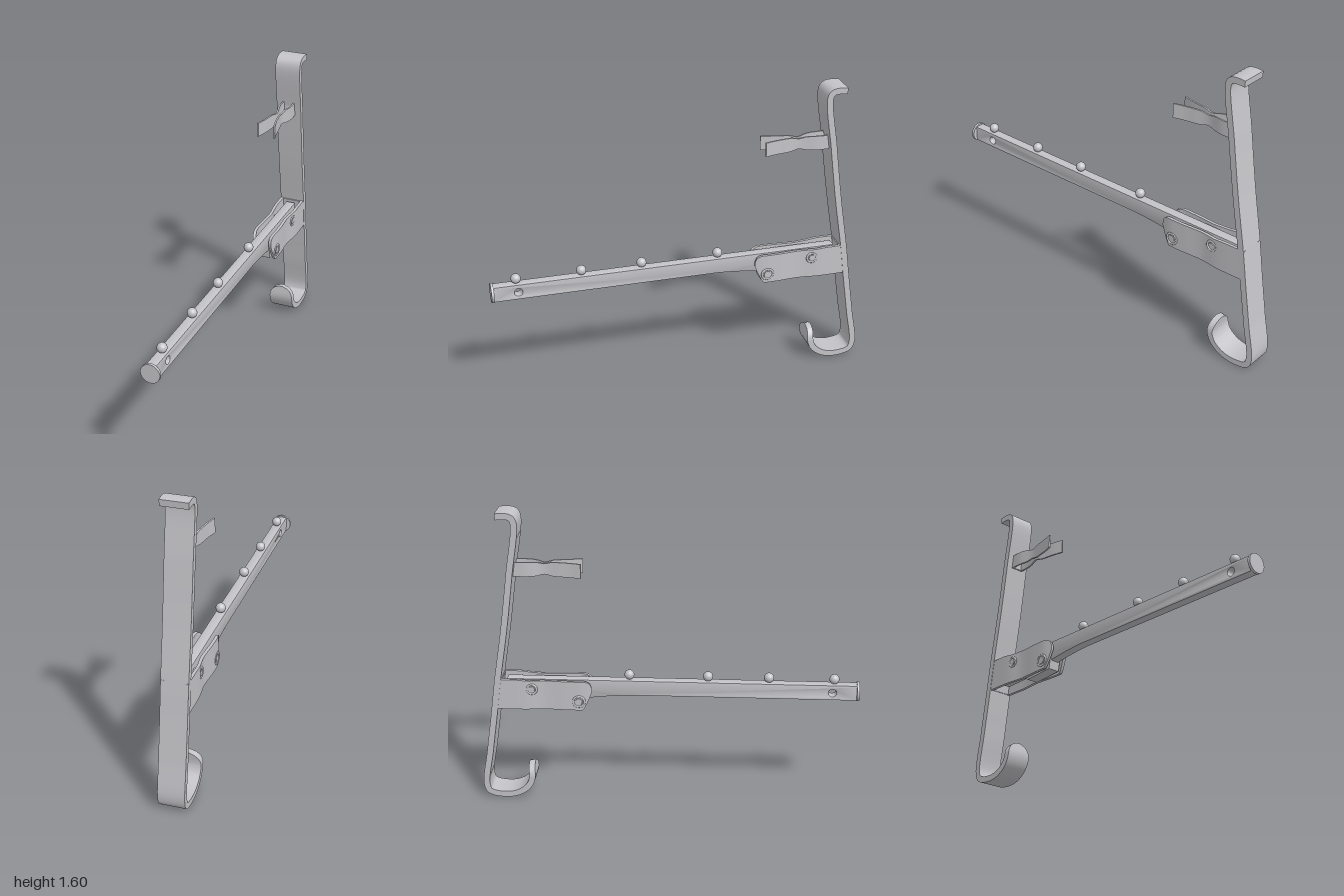
import * as THREE from 'three';
import { toCreasedNormals } from 'three/addons/utils/BufferGeometryUtils.js';

const steel = new THREE.MeshStandardMaterial({ color: 0xc4c4c8 });
steel.name = 'brushed steel';

const V = (x, y, z) => new THREE.Vector3(x, y, z);
// Side plane: drawn in (z, y), width along x. Plan plane: drawn in (z, x), width along y.
const SIDE = new THREE.Matrix4().makeBasis(V(0, 0, 1), V(0, 1, 0), V(-1, 0, 0));
const PLAN = new THREE.Matrix4().makeBasis(V(0, 0, 1), V(1, 0, 0), V(0, 1, 0));

// Bent sheet metal: sweeps a flat section along a curve; extent(t, point) gives its two edges.
function ribbon(points, thickness, extent, plane, segments) {
  const curve = new THREE.CatmullRomCurve3(points.map(([u, v]) => V(u, v, 0)), false, 'centripetal');
  const pos = [], index = [];
  for (let i = 0; i <= segments; i++) {
    const t = i / segments, p = curve.getPointAt(t), d = curve.getTangentAt(t);
    const nx = -d.y * thickness / 2, ny = d.x * thickness / 2;
    const [lo, hi] = extent(t, p);
    for (const [s, w] of [[1, hi], [-1, hi], [-1, lo], [1, lo]]) pos.push(p.x + s * nx, p.y + s * ny, w);
    if (i === segments) break;
    for (let k = 0; k < 4; k++) {
      const a = i * 4 + k, b = i * 4 + (k + 1) % 4;
      index.push(a, b, b + 4, a, b + 4, a + 4);
    }
  }
  const e = segments * 4;
  index.push(3, 2, 1, 3, 1, 0, e, e + 1, e + 2, e, e + 2, e + 3);
  const geo = new THREE.BufferGeometry();
  geo.setAttribute('position', new THREE.Float32BufferAttribute(pos, 3));
  geo.setIndex(index);
  return toCreasedNormals(geo.applyMatrix4(plane), 0.6);
}

export function createModel() {
  const model = new THREE.Group();
  const add = (name, geo, x = 0, y = 0, z = 0) => {
    const mesh = new THREE.Mesh(geo, steel);
    mesh.name = name;
    mesh.position.set(x, y, z);
    model.add(mesh);
    return mesh;
  };

  // Long strap with a small lip on top and an upturned hook with a rounded tip below
  const strapPath = [
    [-0.86, 1.583], [-0.815, 1.586], [-0.782, 1.578], [-0.768, 1.55], [-0.803, 1.28], [-0.845, 0.98],
    [-0.893, 0.69], [-0.92, 0.5], [-0.953, 0.28], [-0.982, 0.08], [-0.965, 0.035], [-0.88, 0.017],
    [-0.81, 0.03], [-0.755, 0.07], [-0.733, 0.12], [-0.738, 0.19],
  ];
  add('strap', ribbon(strapPath, 0.033, (t) => {
    const q = Math.max(0, (t - 0.965) / 0.035);
    const w = 0.07 * Math.sqrt(Math.max(0.02, 1 - q * q));
    return [-w, w];
  }, SIDE, 200));

  // Spring clip: two pinched leaves on a base against the strap
  for (const s of [1, -1]) {
    const path = [[-0.8, 0.03], [-0.72, 0.03], [-0.63, 0.014], [-0.55, 0.024], [-0.5, 0.032], [-0.44, 0.047]];
    add('clipLeaf', ribbon(path.map(([z, x]) => [z, x * s]), 0.009, (t, p) => {
      const h = 0.038 - 0.01 * Math.exp(-Math.pow((p.x + 0.63) / 0.03, 2));
      return [1.298 - h, 1.298 + h];
    }, PLAN, 32));
  }
  add('clipBase', new THREE.BoxGeometry(0.068, 0.074, 0.012), 0, 1.298, -0.787);

  // Arm with a cross hole near its free end
  const arm = new THREE.Shape();
  arm.moveTo(-0.84, 0.565);
  arm.lineTo(-0.5, 0.58);
  arm.quadraticCurveTo(-0.35, 0.605, -0.2, 0.612);
  arm.lineTo(0.984, 0.612);
  arm.lineTo(0.984, 0.682);
  arm.lineTo(-0.84, 0.682);
  arm.closePath();
  const hole = new THREE.Path();
  hole.absarc(0.86, 0.646, 0.028, 0, Math.PI * 2, true);
  arm.holes.push(hole);
  const armGeo = new THREE.ExtrudeGeometry(arm, {
    depth: 0.04, bevelThickness: 0.008, bevelSize: 0.008, bevelSegments: 2, curveSegments: 16,
  });
  add('arm', toCreasedNormals(armGeo.translate(0, 0, -0.02).applyMatrix4(SIDE), 0.6));

  // Round end cap
  const cap = new THREE.CylinderGeometry(0.051, 0.051, 0.014, 40).rotateX(Math.PI / 2);
  add('endCap', cap, 0, 0.648, 0.993);

  // Stop balls along the top of the arm
  for (const z of [0.868, 0.528, 0.209, -0.204]) add('stopBall', new THREE.SphereGeometry(0.026, 24, 16), 0, 0.715, z);

  // Bracket: wavy cheek plates either side of the arm, with ringed rivets
  const cheek = [[-0.91, 0.06], [-0.75, 0.06], [-0.65, 0.05], [-0.53, 0.056], [-0.45, 0.056], [-0.4, 0.046]];
  for (const s of [1, -1]) {
    add('bracketCheek', ribbon(cheek.map(([z, x]) => [z, x * s]), 0.016, (t, p) => {
      const q = THREE.MathUtils.clamp((p.x + 0.45) / 0.05, 0, 1);
      const top = 0.698 - 0.006 * THREE.MathUtils.smoothstep(p.x, -0.8, -0.72) - 0.04 * (1 - Math.sqrt(1 - q * q));
      const bottom = 0.53 + 0.1 * Math.pow(q, 1.3);
      return [bottom, top];
    }, PLAN, 60));
    for (const [z, y, r, x] of [[-0.467, 0.58, 0.03, 0.063], [-0.715, 0.645, 0.026, 0.063]]) {
      add('rivetRing', new THREE.TorusGeometry(r, 0.006, 8, 28).rotateY(Math.PI / 2), s * x, y, z);
      add('rivetHead', new THREE.CylinderGeometry(r * 0.6, r * 0.7, 0.008, 24).rotateZ(-s * Math.PI / 2), s * x, y, z);
    }
  }

  // Web joining the cheeks at the strap, following its slope
  const web = add('bracketWeb', new THREE.BoxGeometry(0.12, 0.165, 0.012), 0, 0.614, -0.888);
  web.rotation.x = 0.14;

  // Pivot pins through the bracket
  for (const [z, y] of [[-0.467, 0.58], [-0.715, 0.645]])
    add('pivotPin', new THREE.CylinderGeometry(0.016, 0.016, 0.115, 20).rotateZ(Math.PI / 2), 0, y, z);

  // Locking lever under the arm
  const lever = new THREE.Shape();
  lever.moveTo(-0.43, 0.6);
  lever.lineTo(-0.44, 0.535);
  lever.lineTo(-0.62, 0.522);
  lever.lineTo(-0.64, 0.535);
  lever.lineTo(-0.64, 0.6);
  lever.closePath();
  const leverGeo = new THREE.ExtrudeGeometry(lever, { depth: 0.066, bevelEnabled: false });
  add('lockLever', leverGeo.translate(0, 0, -0.033).applyMatrix4(SIDE));

  return model;
}
